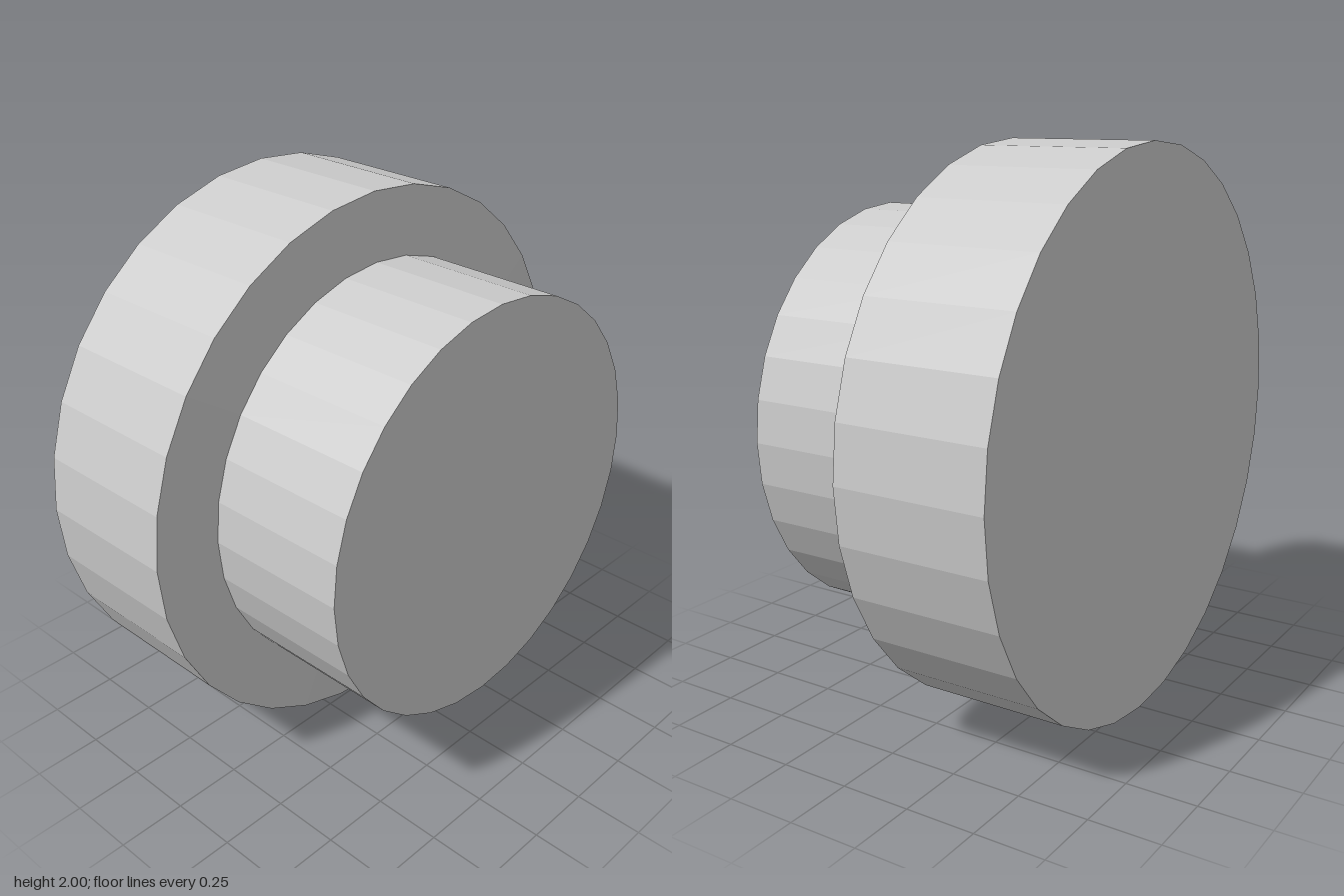
import * as THREE from 'three';

const SIDES = 32;

export function createModel() {
  const group = new THREE.Group();
  group.name = 'steppedKnob';
  const material = new THREE.MeshStandardMaterial({ color: 0xcccccc, flatShading: true });

  // Closed stepped profile (radius, position along the axis)
  const profile = [
    [0, -0.545],
    [1, -0.545],     // rear rim of the wide disc
    [1, 0.003],      // front rim of the wide disc
    [0.757, 0.012],  // shoulder, very slightly conical
    [0.757, 0.545],  // end of the narrow boss
    [0, 0.545],
  ].map(([r, h]) => new THREE.Vector2(r, h));

  // Turn the lathe axis from y to x, the narrow boss towards +x
  const geometry = new THREE.LatheGeometry(profile, SIDES);
  geometry.rotateZ(-Math.PI / 2);

  const body = new THREE.Mesh(geometry, material);
  body.name = 'discAndBoss';
  body.position.y = 1;
  group.add(body);
  return group;
}
